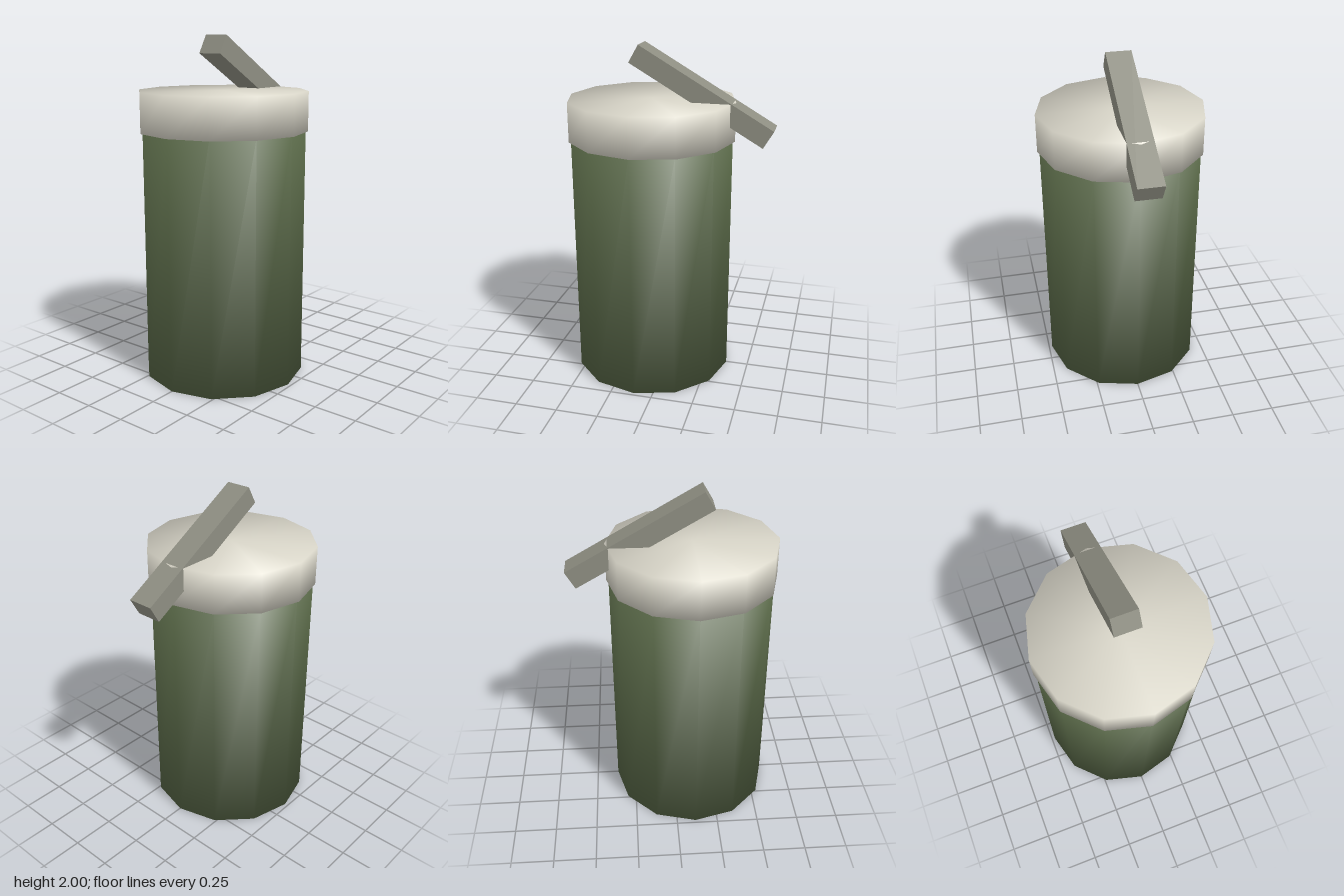
import * as THREE from 'three';

const SIDES = 12;
const AXIS_Z = 0.115;

// Twelve-sided drum with normals smoothed over the rim
function drum(name, radius, bottom, top, color) {
  const geometry = new THREE.CylinderGeometry(radius, radius, top - bottom, SIDES);
  const pos = geometry.attributes.position;
  const normal = geometry.attributes.normal;
  const n = new THREE.Vector3();
  for (let i = 0; i < pos.count; i++) {
    n.set(pos.getX(i) / radius, Math.sign(pos.getY(i)), pos.getZ(i) / radius).normalize();
    normal.setXYZ(i, n.x, n.y, n.z);
  }
  const mesh = new THREE.Mesh(geometry, new THREE.MeshStandardMaterial({ color }));
  mesh.name = name;
  mesh.position.set(0, (bottom + top) / 2, AXIS_Z);
  return mesh;
}

export function createModel() {
  const group = new THREE.Group();
  group.name = 'canister';

  // Tall body and the slightly wider lid
  group.add(drum('body', 0.48, 0, 1.47, 0x566545));
  group.add(drum('lid', 0.493, 1.46, 1.69, 0xd8d5c8));

  // Slanted lever sunk into the back of the lid
  const lever = new THREE.Mesh(
    new THREE.BoxGeometry(0.15, 0.117, 0.9),
    new THREE.MeshStandardMaterial({ color: 0x8e8e82 })
  );
  lever.name = 'lever';
  lever.position.set(0, 1.725, -0.188);
  lever.rotation.x = -Math.PI / 6;
  group.add(lever);

  return group;
}
